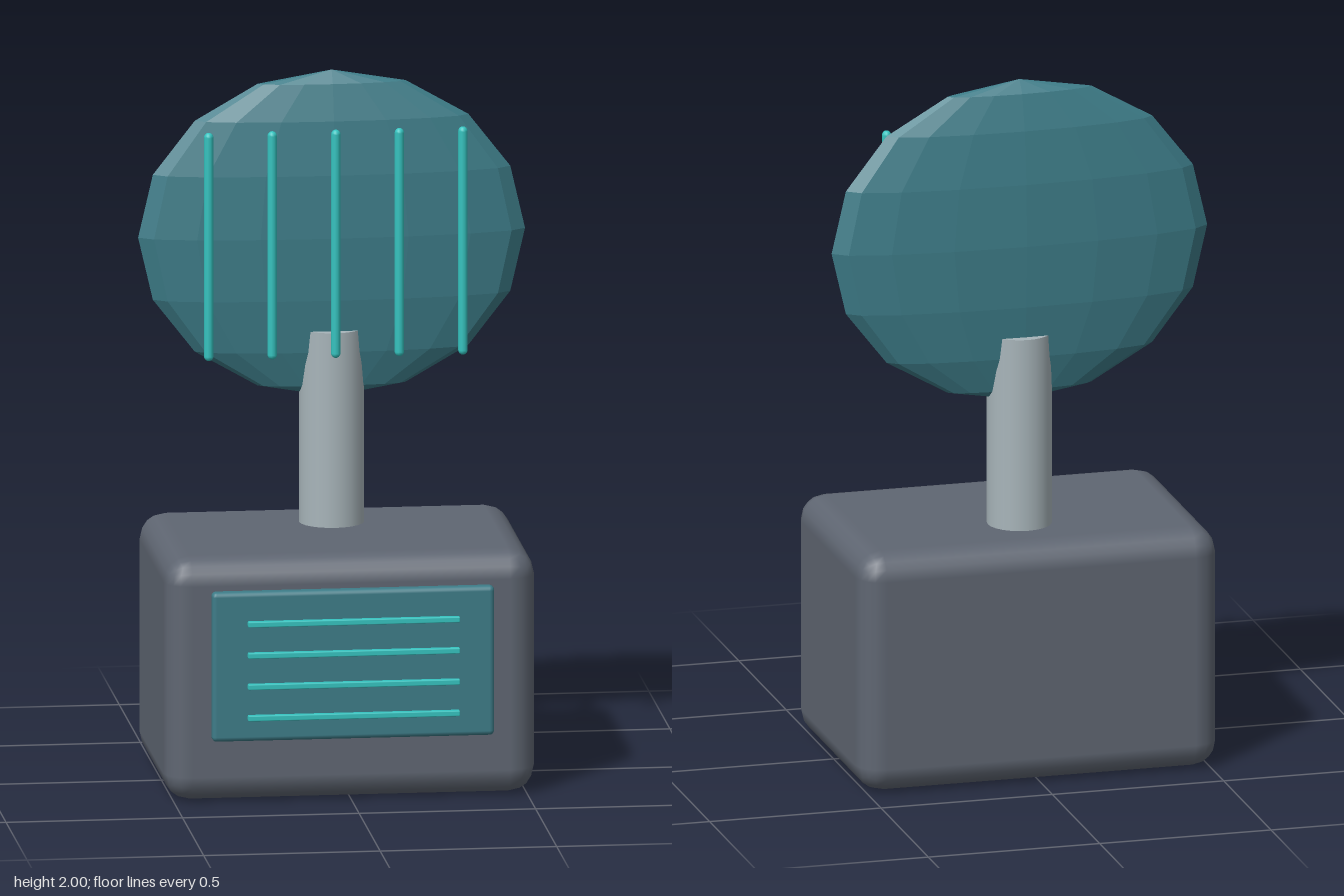
import * as THREE from 'three';
import { RoundedBoxGeometry } from 'three/addons/geometries/RoundedBoxGeometry.js';

export function createModel() {
  const model = new THREE.Group();
  const material = (name, color, flatShading = false) => {
    const m = new THREE.MeshStandardMaterial({ color, flatShading });
    m.name = name;
    return m;
  };
  const slate = material('slate', 0x5f6672);
  const steel = material('paleSteel', 0xa8b5ba);
  const teal = material('teal', 0x3d7c88);
  const aqua = material('aqua', 0x35c4c0);

  const add = (name, geometry, mat, x, y, z) => {
    const mesh = new THREE.Mesh(geometry, mat);
    mesh.name = name;
    mesh.position.set(x, y, z);
    model.add(mesh);
    return mesh;
  };

  // Rounded box base
  add('base', new RoundedBoxGeometry(1.05, 0.7, 0.715, 2, 0.075), slate, 0, 0.35, -0.032);

  // Front panel with horizontal slats
  add('frontPanel', new RoundedBoxGeometry(0.8, 0.43, 0.04, 2, 0.014), teal, 0, 0.4, 0.35);
  for (let i = 0; i < 4; i++) {
    add('panelSlat', new RoundedBoxGeometry(0.6, 0.016, 0.02, 1, 0.003), aqua, 0, 0.255 + i * 0.09, 0.378);
  }

  // Neck post
  add('post', new THREE.CylinderGeometry(0.092, 0.092, 0.6, 24), steel, 0, 0.96, -0.152);

  // Flattened faceted head; geometry is scaled so its normals stay correct
  const head = new THREE.SphereGeometry(1, 16, 8).scale(0.548, 0.47, 0.081);
  const headMaterial = teal.clone();
  headMaterial.name = 'facetedTeal';
  headMaterial.flatShading = true;
  add('head', head, headMaterial, 0, 1.53, -0.152);

  // Vertical rods standing in front of the head
  for (let i = -2; i <= 2; i++) {
    add('headRod', new THREE.CapsuleGeometry(0.0135, 0.63, 4, 10), aqua, i * 0.18, 1.52, -0.052);
  }

  return model;
}
